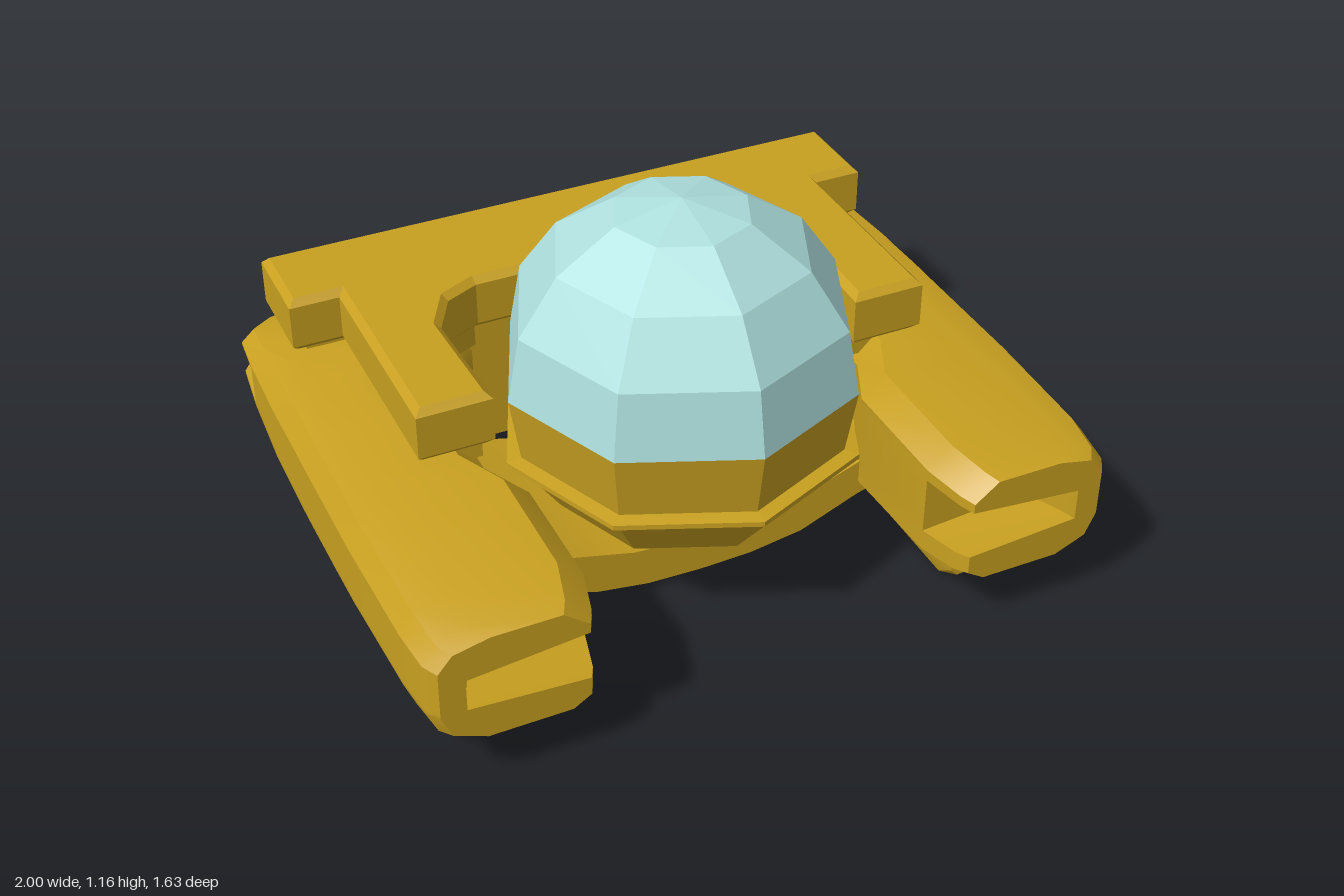
import * as THREE from 'three';
import { toCreasedNormals } from 'three/addons/utils/BufferGeometryUtils.js';

const yellow = new THREE.MeshStandardMaterial({ color: 0xc8a020 });
const yellowFlat = new THREE.MeshStandardMaterial({ color: 0xc8a020, flatShading: true, side: THREE.DoubleSide });
const glass = new THREE.MeshStandardMaterial({ color: 0xaee0de, flatShading: true, side: THREE.DoubleSide });

// Skin a row of closed rings (counter-clockwise seen from +z, front to back) and cap both ends
function loft(rings) {
  const n = rings[0].length;
  const index = [];
  for (let i = 0; i < rings.length - 1; i++) {
    for (let j = 0; j < n; j++) {
      const k = (j + 1) % n;
      const a = i * n + j, b = i * n + k, c = b + n, d = a + n;
      index.push(a, d, c, a, c, b);
    }
  }
  const cap = (ring) => THREE.ShapeUtils.triangulateShape(ring.map(([x, y]) => new THREE.Vector2(x, y)), []);
  for (const [a, b, c] of cap(rings[0])) index.push(a, b, c);
  const last = (rings.length - 1) * n;
  for (const [a, b, c] of cap(rings.at(-1))) index.push(last + a, last + c, last + b);
  const geometry = new THREE.BufferGeometry();
  geometry.setAttribute('position', new THREE.Float32BufferAttribute(rings.flat(2), 3));
  geometry.setIndex(index);
  return toCreasedNormals(geometry, 0.5);
}

const mirror = (rings) => rings.map((r) => r.map(([x, y, z]) => [-x, y, z]).reverse());

// Pod cross-section: inner/outer x, top/bottom y, inner slot depth, outer slot depth, inner chamfer
function podRing([z, xi, xo, top, bottom, slotIn = 0, slotOut = 0, c = 1]) {
  const y = (f) => bottom + f * (top - bottom);
  return [
    [xi, y(0.1 * c)], [xi + 0.05 * c, bottom], [xo - 0.12, bottom], [xo - 0.03, y(0.12)], [xo, y(0.33)],
    [xo, y(0.37)], [xo - slotOut, y(0.42)], [xo - slotOut, y(0.7)], [xo, y(0.75)],
    [xo, y(0.78)], [xo - 0.04, y(0.93)], [xo - 0.14, top], [xi + 0.07 * c, top], [xi, y(1 - 0.17 * c)],
    [xi, y(0.74)], [xi + slotIn, y(0.64)], [xi + slotIn, y(0.34)], [xi, y(0.27)],
  ].map(([px, py]) => [px, py, z]);
}

// U-shaped outline open to the front, with its outer edges drawn in by s
function uShape(s) {
  const half = [
    [0.39, -0.38], [0.5, -0.33], [0.57, -0.2], [0.56, 0.17 - s], [0.755 - s, 0.17 - s],
    [0.755 - s, -0.46 - s], [0.9 - s, -0.46 - s], [0.9 - s, -0.73 + s],
  ];
  const all = [...half, ...half.map(([x, z]) => [-x, z]).reverse()];
  return new THREE.Shape(all.map(([x, z]) => new THREE.Vector2(x, z)));
}

export function createModel() {
  const model = new THREE.Group();
  const add = (name, geometry, material = yellow) => {
    const mesh = new THREE.Mesh(geometry, material);
    mesh.name = name;
    model.add(mesh);
    return mesh;
  };

  // Hull halves: slotted front pod running back into the rear crossbar with a corner slot
  const hull = [
    [0.82, 0.55, 0.95, 0.49, 0.17, 0.33],
    [0.78, 0.53, 0.975, 0.5, 0.16, 0.34],
    [0.66, 0.5, 0.99, 0.515, 0.15, 0.32],
    [0.66, 0.5, 0.99, 0.515, 0.15],
    [0.3, 0.5, 1, 0.52, 0.13],
    [0.15, 0.57, 1, 0.52, 0.12],
    [-0.1, 0.57, 1, 0.52, 0.11],
    [-0.2, 0.57, 1, 0.52, 0.115],
    [-0.33, 0.5, 1, 0.515, 0.125],
    [-0.385, 0.4, 1, 0.515, 0.13],
    [-0.385, 0, 1, 0.515, 0.13, 0, 0, 0],
    [-0.6, 0, 0.995, 0.5, 0.19, 0, 0, 0],
    [-0.6, 0, 0.995, 0.5, 0.19, 0, 0.16, 0],
    [-0.73, 0, 0.985, 0.485, 0.24, 0, 0.16, 0],
    [-0.79, 0, 0.92, 0.465, 0.3, 0, 0.1, 0],
    [-0.815, 0, 0.8, 0.44, 0.36, 0, 0, 0],
  ].map(podRing);
  add('leftHull', loft(hull));
  add('rightHull', loft(mirror(hull)));

  // Skids with chamfered ends
  const skidRing = (z, lift) => [
    [0.6, 0.06 + lift * 0.3], [0.62, lift], [0.87, 0.025 + lift], [0.9, 0.08 + lift * 0.3], [0.9, 0.2], [0.6, 0.2],
  ].map(([x, y]) => [x, y, z]);
  const skid = [skidRing(0.67, 0.055), skidRing(0.58, 0), skidRing(-0.35, 0), skidRing(-0.45, 0.055)];
  add('leftSkid', loft(skid));
  add('rightSkid', loft(mirror(skid)));

  // Upper deck and the recessed neck beneath it
  const deck = new THREE.ExtrudeGeometry(uShape(0.02), {
    depth: 0.13, bevelEnabled: true, bevelThickness: 0.02, bevelSize: 0.02, bevelOffset: 0, bevelSegments: 1,
  }).rotateX(Math.PI / 2).translate(0, 0.685, 0);
  add('upperDeck', deck);
  const neck = new THREE.ExtrudeGeometry(uShape(0.05), { depth: 0.1, bevelEnabled: false })
    .rotateX(Math.PI / 2).translate(0, 0.57, 0);
  add('deckNeck', neck);

  // Curved cradle slung between the pods
  const upper = [[0.62, 0.27], [0.5, 0.24], [0.38, 0.195], [0.2, 0.15]];
  const lower = [[0, 0.02], [0.16, 0.025], [0.32, 0.05], [0.5, 0.125], [0.62, 0.16]];
  const side = [...lower, ...upper, [0, 0.14]];
  const outline = [...side, ...side.slice(1, -1).map(([x, y]) => [-x, y]).reverse()];
  const cradle = new THREE.ExtrudeGeometry(
    new THREE.Shape(outline.map(([x, y]) => new THREE.Vector2(x, y))),
    { depth: 0.59, bevelEnabled: false },
  ).translate(0, 0, -0.28);
  add('cradle', toCreasedNormals(cradle, 0.5));

  // Faceted cockpit: bowl with a rim ledge, and the canopy above
  const lathe = (points) => new THREE.LatheGeometry(points.map(([r, y]) => new THREE.Vector2(r, y)), 8)
    .translate(0, 0, 0.17);
  add('cockpitBowl', lathe([
    [0, 0.14], [0.19, 0.15], [0.36, 0.27], [0.48, 0.44], [0.512, 0.45], [0.512, 0.465], [0.47, 0.47], [0.5, 0.66],
  ]), yellowFlat);
  add('canopy', lathe([[0.5, 0.66], [0.465, 0.85], [0.355, 1.01], [0.19, 1.12], [0, 1.16]]), glass);

  return model;
}
